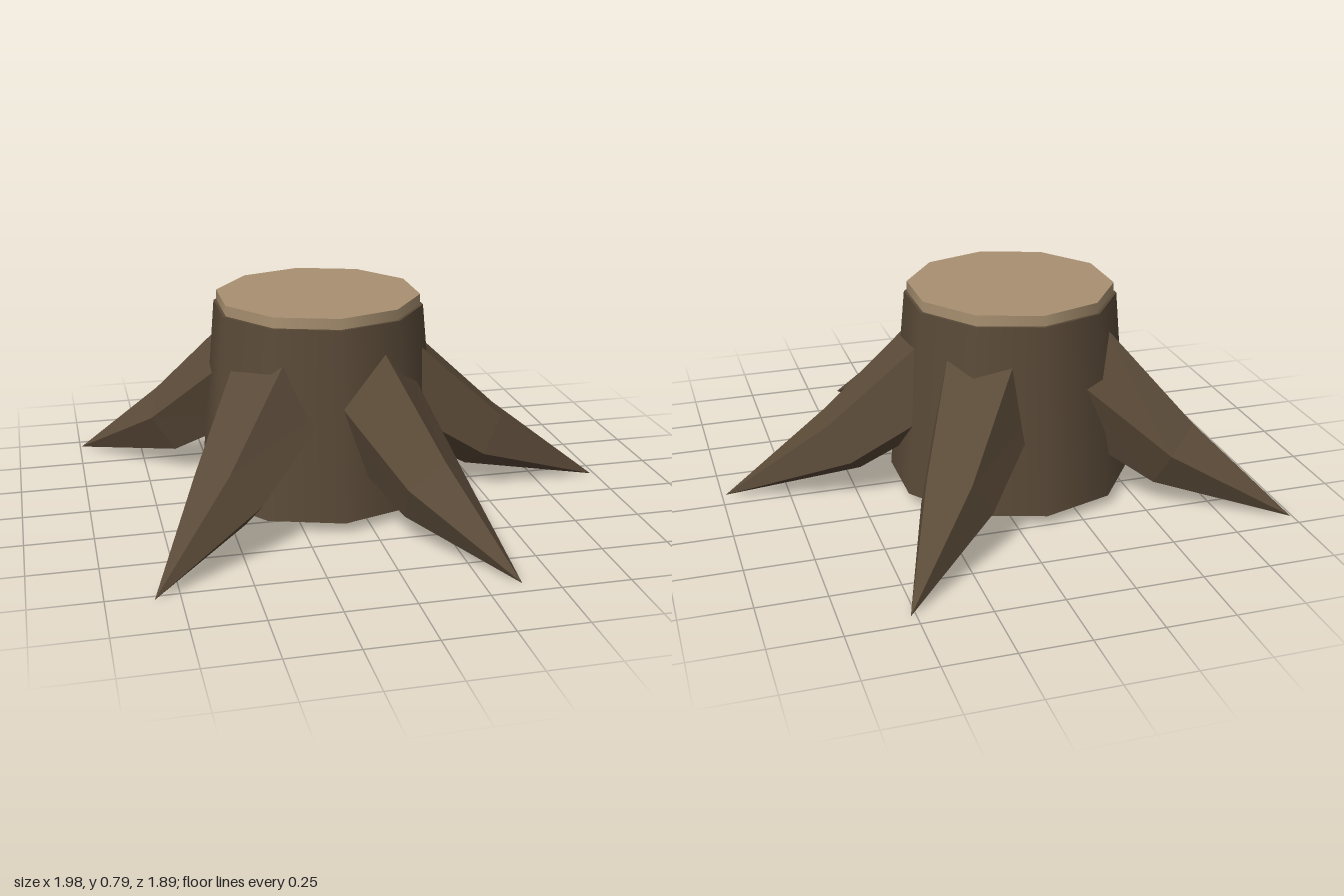
import * as THREE from 'three';

const SIDES = 5;

// One tapering root: five-sided rings from inside the trunk, bending down to a point.
function rootGeometry(azimuth, roll) {
  // distance from the trunk axis, height, radius, downward tilt
  const rings = [
    [0.26, 0.475, 0.21, 0.61],
    [0.65, 0.195, 0.14, 0.5],
    [1.1, 0, 0, 0.4],
  ];
  const out = new THREE.Vector3(Math.cos(azimuth), 0, Math.sin(azimuth));
  const side = new THREE.Vector3(Math.sin(azimuth), 0, -Math.cos(azimuth));
  const points = rings.map(([r, y, radius, tilt]) => {
    const up = out.clone().multiplyScalar(Math.sin(tilt)).setY(Math.cos(tilt));
    return Array.from({ length: SIDES }, (_, i) => {
      const a = roll + (i / SIDES) * Math.PI * 2;
      return out.clone().multiplyScalar(r).setY(y)
        .addScaledVector(side, radius * Math.sin(a))
        .addScaledVector(up, radius * Math.cos(a));
    });
  });
  const tris = [];
  for (let i = 0; i < SIDES; i++) {
    const j = (i + 1) % SIDES;
    const [a, b, c] = points;
    tris.push(a[i], b[i], a[j], a[j], b[i], b[j], b[i], c[i], b[j]);
  }
  // unshared corners give flat facets
  const geometry = new THREE.BufferGeometry().setFromPoints(tris);
  geometry.computeVertexNormals();
  return geometry;
}

export function createModel() {
  const bark = new THREE.MeshStandardMaterial({ color: 0x5a4a38 });
  bark.name = 'bark';
  const cutWood = new THREE.MeshStandardMaterial({ color: 0xa89070 });
  cutWood.name = 'cutWood';

  const model = new THREE.Group();
  model.name = 'treeStump';
  const stump = new THREE.Group();
  stump.name = 'stump';
  stump.position.set(-0.107, 0, -0.045);
  model.add(stump);

  const add = (name, geometry, material, y = 0) => {
    const mesh = new THREE.Mesh(geometry, material);
    mesh.name = name;
    mesh.position.y = y;
    stump.add(mesh);
  };

  // Ten-sided trunk and the pale sawn top
  add('trunk', new THREE.CylinderGeometry(0.397, 0.462, 0.71, 10), bark, 0.395);
  add('cutTop', new THREE.CylinderGeometry(0.386, 0.386, 0.08, 10), cutWood, 0.75);

  // Roots: direction around the trunk and roll about their own axis, in degrees
  const roots = [[6.5, 36], [63.7, 0], [131.6, 22], [216.3, 0], [304.7, 36]];
  roots.forEach(([azimuth, roll], i) => {
    const rad = THREE.MathUtils.degToRad;
    add(`root${i + 1}`, rootGeometry(rad(azimuth), rad(roll)), bark);
  });
  return model;
}
